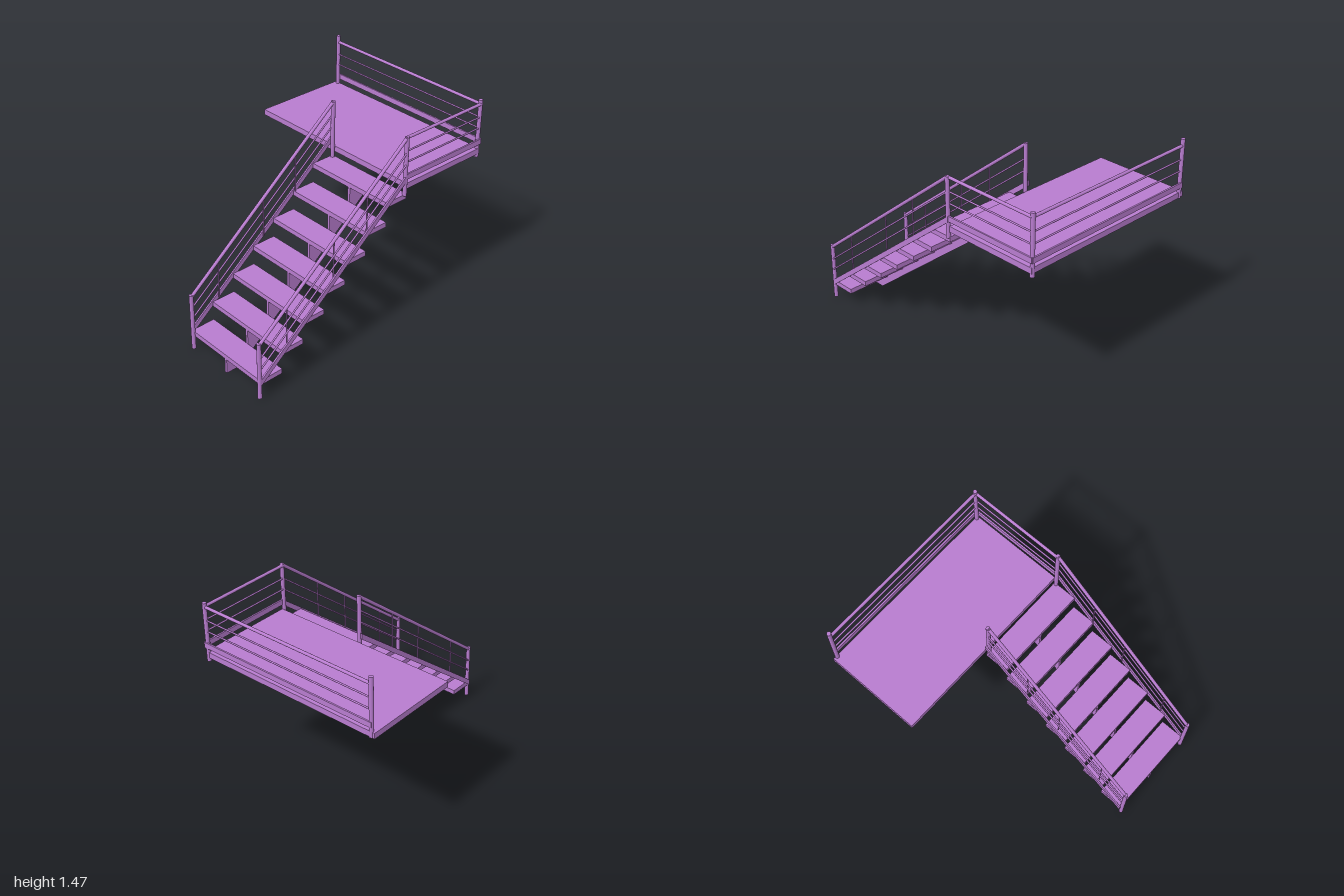
import * as THREE from 'three';

export function createModel() {
  const model = new THREE.Group();
  const mat = new THREE.MeshStandardMaterial({ color: 0xb87ccf });

  const add = (name, geometry, parent = model) => {
    const mesh = new THREE.Mesh(geometry, mat);
    mesh.name = name;
    parent.add(mesh);
    return mesh;
  };
  // Box given by its minimum and maximum corners
  const box = (name, [x0, y0, z0], [x1, y1, z1], parent) =>
    add(name, new THREE.BoxGeometry(x1 - x0, y1 - y0, z1 - z0), parent)
      .position.set((x0 + x1) / 2, (y0 + y1) / 2, (z0 + z1) / 2);
  // Round bar between two points
  const bar = (name, a, b, r, parent) => {
    const p = new THREE.Vector3(...a), q = new THREE.Vector3(...b);
    const mesh = add(name, new THREE.CylinderGeometry(r, r, p.distanceTo(q), 16), parent);
    mesh.position.copy(p).lerp(q, 0.5);
    mesh.quaternion.setFromUnitVectors(new THREE.Vector3(0, 1, 0), q.sub(p).normalize());
  };
  // Plate outlined by (z, y) points, from x0 to x0 + width
  const plate = (name, points, x0, width, parent) => {
    const shape = new THREE.Shape(points.map(([z, y]) => new THREE.Vector2(z, y)));
    const mesh = add(name, new THREE.ExtrudeGeometry(shape, { depth: width, bevelEnabled: false }), parent);
    mesh.rotation.y = -Math.PI / 2;
    mesh.position.x = x0 + width;
  };

  // Treads and the notched central stringer below them
  const steps = 7, run = 0.18, rise = 0.144, front = 0.98;
  const outline = [[0.865, 0], [front, 0]];
  const treads = new THREE.Group();
  treads.name = 'treads';
  model.add(treads);
  for (let i = 0; i < steps; i++) {
    const z = front - run * i, y = 0.109 + rise * i;
    box('tread', [0, y, z - run], [0.7, y + 0.036, z], treads);
    outline.push([z, y], [z - run, y]);
  }
  outline.push([-0.28, 0.915]);
  plate('stringer', outline, 0.34, 0.02);

  // Sloping railing on each side of the stair; out points away from the treads
  const zLow = 0.985, zHigh = -0.265;
  const slopeY = (z, y) => y + (zLow - z) * 0.8;
  for (const [side, x, out] of [['right', 0.015, -1], ['left', 0.697, 1]]) {
    const rail = new THREE.Group();
    rail.name = side + 'StairRailing';
    model.add(rail);
    bar('bottomPost', [x, 0.01, zLow], [x, 0.44, zLow], 0.015, rail);
    bar('topPost', [x, 1.0, zHigh], [x, 1.43, zHigh], 0.015, rail);
    const sloped = (name, px, y, r) =>
      bar(name, [px, y, zLow], [px, slopeY(zHigh, y), zHigh], r, rail);
    sloped('handrail', x, 0.424, 0.012);
    for (const y of [0.322, 0.237]) sloped('midRail', x + out * 0.008, y, 0.006);
    for (const z of [0.755, 0.36, 0.075])
      bar('baluster', [x, slopeY(z, 0.13), z], [x, slopeY(z, 0.42), z], 0.005, rail);
    plate('sideBoard', [
      [0.98, 0.112], [0.98, 0.157], [-0.275, 1.16], [-0.275, 1.115],
    ], out < 0 ? -0.013 : 0.699, 0.012, rail);
  }

  // Landing
  box('landing', [-0.72, 1.045, -0.99], [0.7, 1.087, -0.28]);

  // Landing railing along the back and the left side
  const landingRail = new THREE.Group();
  landingRail.name = 'landingRailing';
  model.add(landingRail);
  const zBack = -0.982, xSide = 0.685;
  bar('endPost', [-0.69, 1.045, zBack], [-0.69, 1.47, zBack], 0.015, landingRail);
  bar('cornerPost', [xSide, 1.02, zBack], [xSide, 1.45, zBack], 0.015, landingRail);
  for (const [y, r] of [[1.42, 0.011], [1.322, 0.006], [1.24, 0.006]]) {
    bar('backRail', [-0.69, y, zBack], [xSide, y, zBack], r, landingRail);
    bar('sideRail', [0.69, y, zHigh], [0.69, y, zBack], r, landingRail);
  }
  box('backToeBoard', [-0.7, 1.12, -1], [0.7, 1.16, -0.988], landingRail);
  box('sideToeBoard', [0.695, 1.12, -0.995], [0.707, 1.16, -0.27], landingRail);

  return model;
}
